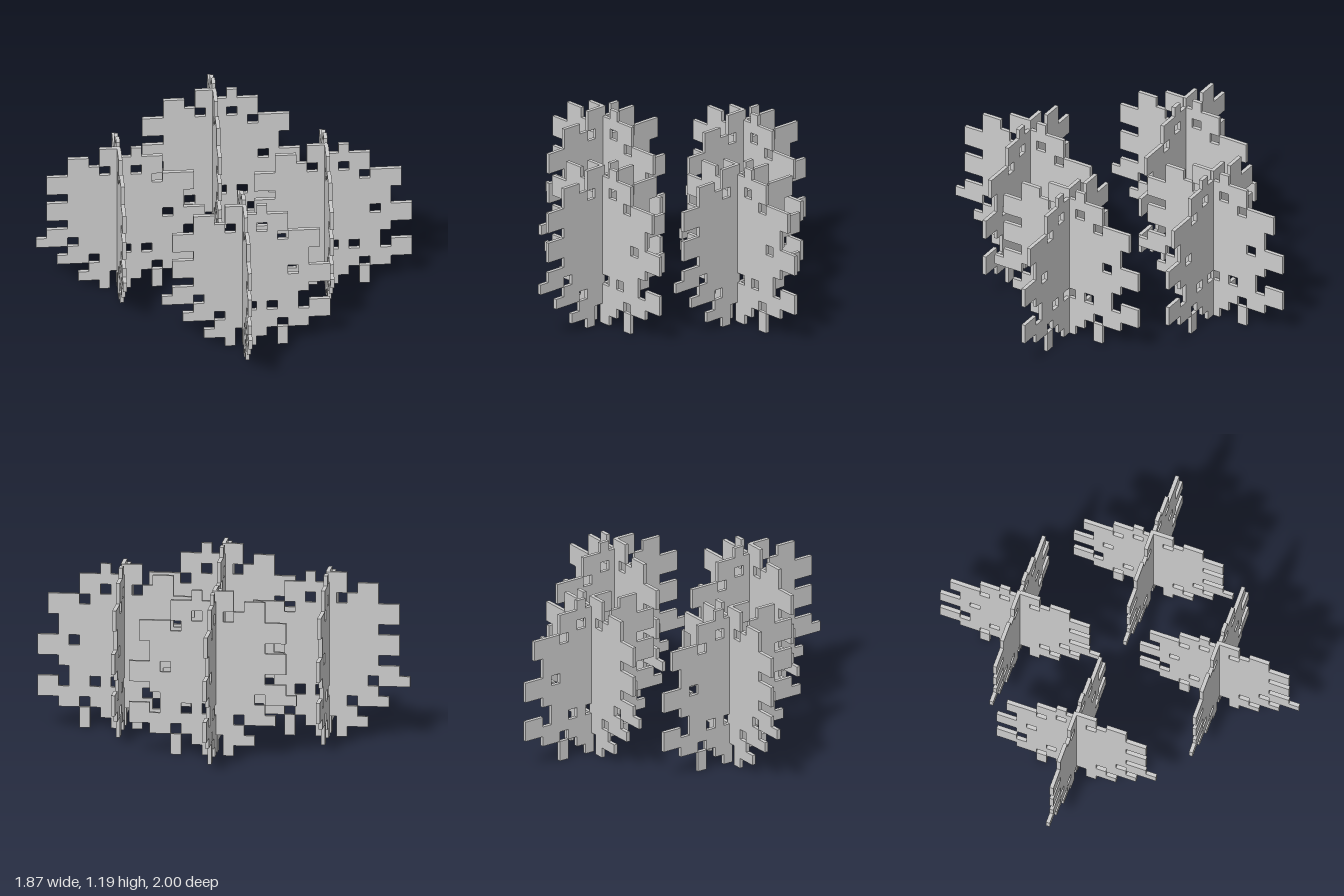
import * as THREE from 'three';

const CELL = 1.19 / 16;
const THICK = 0.028;

// leaf silhouette, one character per square cell, top row first
const PATTERN = [
  '......##.#......',
  '...##.######....',
  '...###.##.##....',
  '.##########.###.',
  '.##############.',
  '...###########..',
  '.#############..',
  '.###########.###',
  '...#############',
  '.#############..',
  '###.#########...',
  '...#####.#.##.##',
  '..###.##########',
  '.....######.##..',
  '....###.##.#....',
  '......#.#..#....',
];

const filled = (col, row) => PATTERN[15 - row]?.[col] === '#';

// thin slab: front and back of every filled cell, walls only along the outline
function leafPanelGeometry() {
  const positions = [];
  const quad = (a, b, c, d) => positions.push(...a, ...b, ...c, ...a, ...c, ...d);
  const h = THICK / 2;
  for (let row = 0; row < 16; row++) {
    for (let col = 0; col < 16; col++) {
      if (!filled(col, row)) continue;
      const x0 = (col - 8) * CELL, x1 = x0 + CELL;
      const y0 = row * CELL, y1 = y0 + CELL;
      quad([x0, y0, h], [x1, y0, h], [x1, y1, h], [x0, y1, h]);
      quad([x1, y0, -h], [x0, y0, -h], [x0, y1, -h], [x1, y1, -h]);
      if (!filled(col - 1, row)) quad([x0, y0, -h], [x0, y0, h], [x0, y1, h], [x0, y1, -h]);
      if (!filled(col + 1, row)) quad([x1, y0, h], [x1, y0, -h], [x1, y1, -h], [x1, y1, h]);
      if (!filled(col, row + 1)) quad([x0, y1, h], [x1, y1, h], [x1, y1, -h], [x0, y1, -h]);
      if (!filled(col, row - 1)) quad([x0, y0, -h], [x1, y0, -h], [x1, y0, h], [x0, y0, h]);
    }
  }
  const geometry = new THREE.BufferGeometry();
  geometry.setAttribute('position', new THREE.Float32BufferAttribute(positions, 3));
  geometry.computeVertexNormals();
  return geometry;
}

export function createModel() {
  const model = new THREE.Group();
  model.name = 'plantCluster';
  const material = new THREE.MeshStandardMaterial({ color: 0xcccccc, flatShading: true });
  const geometry = leafPanelGeometry();

  // four plants, each made of two crossed panels
  const plants = [
    ['backRightPlant', -0.5, -0.57],
    ['backLeftPlant', 0.491, -0.537],
    ['frontRightPlant', -0.46, 0.565],
    ['frontLeftPlant', 0.491, 0.505],
  ];
  for (const [name, x, z] of plants) {
    const plant = new THREE.Group();
    plant.name = name;
    plant.position.set(x, 0, z);
    for (const side of [-1, 1]) {
      const panel = new THREE.Mesh(geometry, material);
      panel.name = side < 0 ? 'leafPanel' : 'crossLeafPanel';
      panel.rotation.y = side * Math.PI / 4;
      panel.position.x = -side * 0.007;
      plant.add(panel);
    }
    model.add(plant);
  }
  return model;
}
